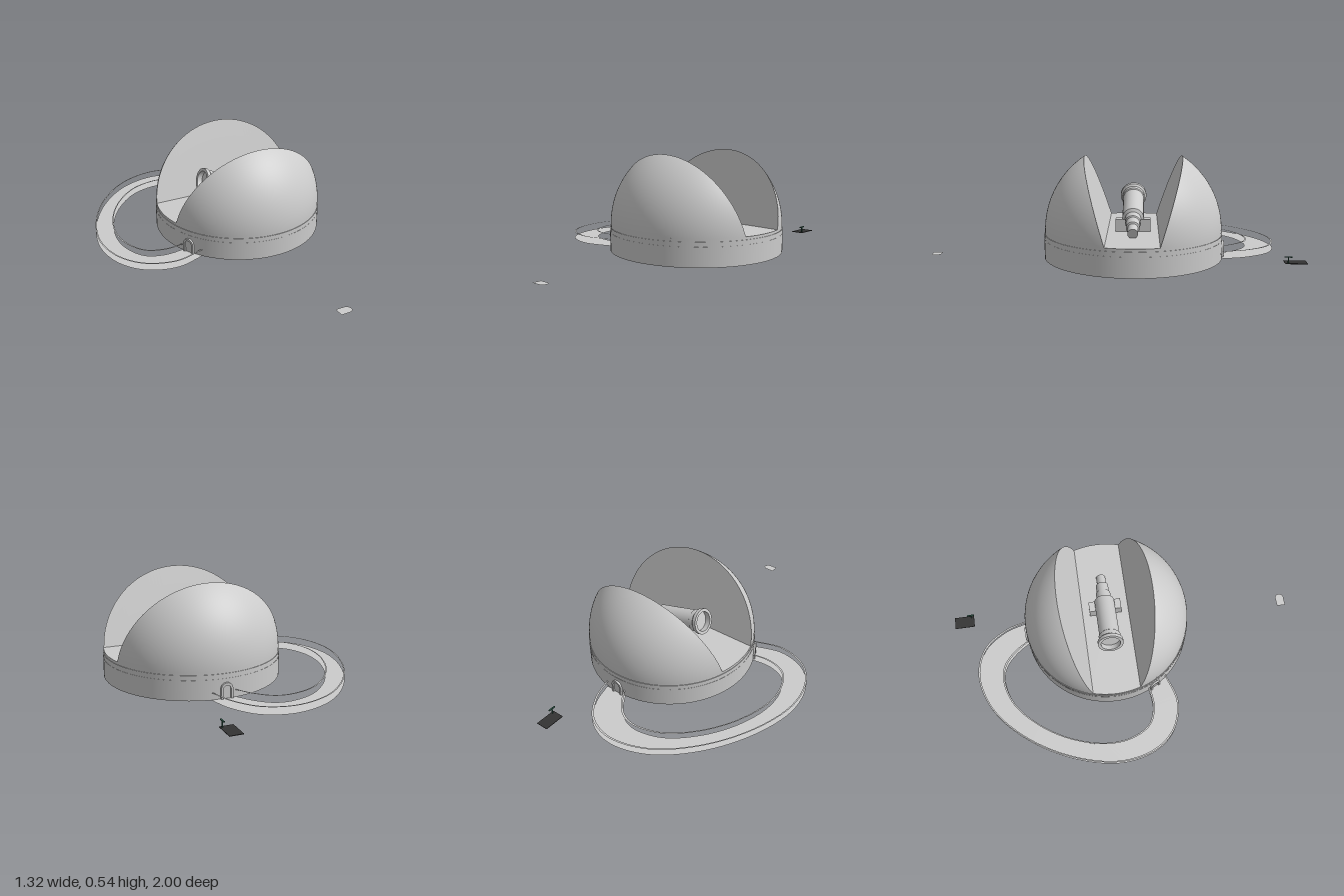
import * as THREE from 'three';
import { ParametricGeometry } from 'three/addons/geometries/ParametricGeometry.js';

const grey = new THREE.MeshStandardMaterial({ color: 0xcccccc });
const thin = new THREE.MeshStandardMaterial({ color: 0xcccccc, side: THREE.DoubleSide });
const dark = new THREE.MeshStandardMaterial({ color: 0x333333 });
const green = new THREE.MeshStandardMaterial({ color: 0x2f5a4a });

function add(parent, name, geometry, material = grey, x = 0, y = 0, z = 0) {
  const mesh = new THREE.Mesh(geometry, material);
  mesh.name = name;
  mesh.position.set(x, y, z);
  parent.add(mesh);
  return mesh;
}

// Half of an open clamshell dome: a sphere cut by the leaning plane z = d + m * y
function domeHalf() {
  const R = 0.473, d = 0.135, m = 0.316;
  const a0 = Math.asin(d / R);
  const point = (u, v, target) => {
    const a = a0 + u * (Math.PI - 2 * a0);
    const r = Math.max(R * Math.sin(a), d);
    const end = Math.acos(Math.min(1, d / (r * Math.hypot(1, m)))) - Math.atan(m);
    const t = Math.max(0, end) * v;
    return target.set(-R * Math.cos(a), r * Math.sin(t), r * Math.cos(t));
  };
  const shell = new ParametricGeometry(point, 64, 24);
  const p = shell.attributes.position, n = shell.attributes.normal;
  for (let i = 0; i < p.count; i++) n.setXYZ(i, p.getX(i) / R, p.getY(i) / R, p.getZ(i) / R);

  const face = new ParametricGeometry((u, v, target) => {
    point(1 - u, 1, target);
    const y = target.y * v;
    return target.set(target.x, y, d + m * y);
  }, 64, 4);
  face.computeVertexNormals();

  const half = new THREE.Group();
  add(half, 'domeShell', shell);
  add(half, 'domeCutFace', face);
  return half;
}

// Flat band between two ground curves; s0 and s1 are fractions across from outer to inner
function band(outer, inner, s0, s1, y) {
  const a = new THREE.Vector3(), b = new THREE.Vector3();
  return new ParametricGeometry((u, v, target) => {
    outer.getPoint(u, a);
    inner.getPoint(u, b);
    target.lerpVectors(a, b, s0 + (s1 - s0) * v);
    return target.setY(y);
  }, 80, 1);
}

const curve = (pts) => new THREE.CatmullRomCurve3(pts.map(([x, z]) => new THREE.Vector3(x, 0, z)));

function archShape(w, h, Type = THREE.Shape) {
  const s = new Type();
  s.moveTo(-w, 0);
  s.lineTo(w, 0);
  s.lineTo(w, h - w);
  s.absarc(0, h - w, w, 0, Math.PI, false);
  s.lineTo(-w, 0);
  return s;
}

// Arched doorway with a recessed panel, facing +z
function doorway() {
  const door = new THREE.Group();
  const frame = archShape(0.032, 0.085);
  frame.holes.push(archShape(0.021, 0.072, THREE.Path));
  add(door, 'doorFrame', new THREE.ExtrudeGeometry(frame, { depth: 0.025, bevelEnabled: false }), grey, 0, 0, -0.015);
  add(door, 'doorPanel', new THREE.ShapeGeometry(archShape(0.024, 0.076)), grey, 0, 0, 0.002);
  return door;
}

// Telescope lying along x, wide end at -x
function telescope() {
  const scope = new THREE.Group();
  const profile = [
    [0, -0.205], [0.055, -0.205], [0.055, -0.235], [0.072, -0.235], [0.072, -0.215], [0.062, -0.205],
    [0.062, -0.18], [0.057, -0.175], [0.057, 0.07], [0.042, 0.08], [0.042, 0.125], [0.036, 0.13],
    [0.036, 0.185], [0.027, 0.19], [0.027, 0.25], [0, 0.25],
  ];
  // Separate segments keep the edges between sections sharp
  for (let i = 0; i < profile.length - 1; i++) {
    const pair = [profile[i], profile[i + 1]].map(([r, y]) => new THREE.Vector2(r, y));
    add(scope, 'telescopeTube', new THREE.LatheGeometry(pair, 32), thin).rotation.z = -Math.PI / 2;
  }
  scope.rotation.z = -0.27;
  return scope;
}

export function createModel() {
  const model = new THREE.Group();
  model.name = 'observatory';

  // Round building
  const building = new THREE.Group();
  building.name = 'building';
  building.position.set(0.18, 0, -0.095);
  model.add(building);
  add(building, 'baseWall', new THREE.CylinderGeometry(0.477, 0.477, 0.105, 96), grey, 0, 0.0525, 0);
  add(building, 'baseBand', new THREE.CylinderGeometry(0.476, 0.476, 0.025, 96), grey, 0, 0.1175, 0);
  add(building, 'domeTrack', new THREE.CylinderGeometry(0.473, 0.473, 0.015, 96), grey, 0, 0.1375, 0);

  // Open dome, front and back halves
  ['domeFrontHalf', 'domeBackHalf'].forEach((name, i) => {
    const half = domeHalf();
    half.name = name;
    half.position.y = 0.145;
    half.rotation.y = i * Math.PI;
    building.add(half);
  });

  // Telescope on its mount
  const scope = telescope();
  scope.name = 'telescope';
  scope.position.set(0, 0.235, 0);
  building.add(scope);
  add(building, 'telescopeMount', new THREE.BoxGeometry(0.06, 0.065, 0.185), grey, 0.045, 0.1775, 0);

  // Doorways where the path meets the wall
  [[-0.42, 0.226], [0, -0.477]].forEach(([x, z]) => {
    const door = doorway();
    door.name = 'doorway';
    door.position.set(x, 0, z);
    door.rotation.y = Math.atan2(x, z);
    building.add(door);
  });

  // Looping path with a thin handrail along each edge
  const outer = curve([[0.26, -0.57], [0.22, -0.7], [0.12, -0.83], [-0.04, -0.88], [-0.25, -0.82], [-0.45, -0.64],
    [-0.6, -0.38], [-0.66, -0.12], [-0.62, 0.08], [-0.52, 0.2], [-0.36, 0.25], [-0.18, 0.2]]);
  const inner = curve([[0.13, -0.565], [0.07, -0.65], [0, -0.71], [-0.08, -0.73], [-0.23, -0.69], [-0.37, -0.57],
    [-0.48, -0.4], [-0.54, -0.2], [-0.53, -0.05], [-0.47, 0.06], [-0.37, 0.1], [-0.24, 0.09]]);
  add(model, 'path', band(outer, inner, 0, 1, 0.002), thin);
  add(model, 'outerRail', band(outer, inner, 0, 0.07, 0.04), thin);
  add(model, 'innerRail', band(outer, inner, 0.93, 1, 0.04), thin);

  // Dark pad with a small signpost
  add(model, 'pad', new THREE.BoxGeometry(0.07, 0.003, 0.115), dark, 0.32, 0.0015, -0.9425);
  add(model, 'signPost', new THREE.BoxGeometry(0.005, 0.035, 0.005), green, 0.345, 0.0175, -0.9);
  add(model, 'signBar', new THREE.BoxGeometry(0.008, 0.005, 0.04), green, 0.345, 0.0355, -0.9);

  // Small round-ended slab in front
  const slab = new THREE.Shape();
  slab.moveTo(0.155, -0.025);
  slab.lineTo(0.205, -0.025);
  slab.absarc(0.205, 0, 0.025, -Math.PI / 2, Math.PI / 2, false);
  slab.lineTo(0.155, 0.025);
  add(model, 'frontSlab', new THREE.ShapeGeometry(slab), thin, 0, 0.002, 0.975).rotation.x = -Math.PI / 2;

  return model;
}
